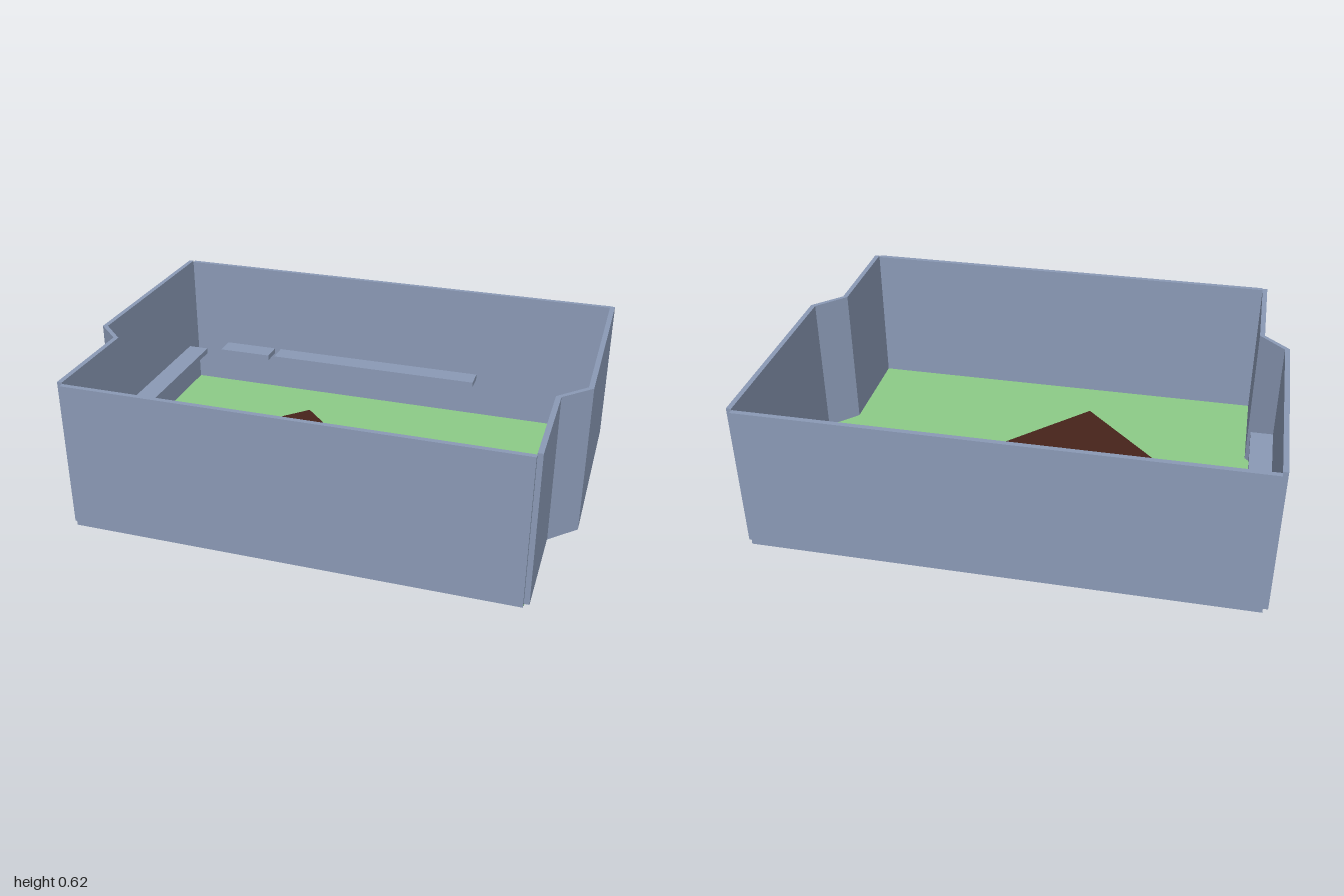
import * as THREE from 'three';

const wallMat = new THREE.MeshStandardMaterial({ color: 0x8a99b5 });
const floorMat = new THREE.MeshStandardMaterial({ color: 0x8ccb87 });
const rugMat = new THREE.MeshStandardMaterial({ color: 0x47231b });

// Vertical prism over a plan outline given as [x, z] corners
function prism(name, outline, y0, y1, material) {
  const shape = new THREE.Shape(outline.map(([x, z]) => new THREE.Vector2(x, -z)));
  const geo = new THREE.ExtrudeGeometry(shape, { depth: y1 - y0, bevelEnabled: false });
  geo.rotateX(-Math.PI / 2).translate(0, y0, 0);
  const mesh = new THREE.Mesh(geo, material);
  mesh.name = name;
  return mesh;
}

// Axis-aligned block from its extents
function block(name, x0, x1, y0, y1, z0, z1, material) {
  const mesh = new THREE.Mesh(new THREE.BoxGeometry(x1 - x0, y1 - y0, z1 - z0), material);
  mesh.position.set((x0 + x1) / 2, (y0 + y1) / 2, (z0 + z1) / 2);
  mesh.name = name;
  return mesh;
}

export function createModel() {
  const room = new THREE.Group();
  room.name = 'room';

  // Floor, narrower toward the front
  room.add(prism('floor', [
    [-0.98, -0.69], [0.98, -0.69], [0.98, 0.145], [0.876, 0.25],
    [0.876, 0.687], [-0.88, 0.687], [-0.88, 0.25], [-0.98, 0.155],
  ], 0, 0.013, floorMat));

  // Back and front walls
  room.add(block('backWall', -0.98, 0.98, 0.007, 0.612, -0.71, -0.69, wallMat));
  room.add(block('frontWall', -0.88, 0.875, 0.007, 0.612, 0.686, 0.706, wallMat));

  // Side walls: long rear run, angled step, short front run
  const sides = [['right', -1, 0.158, 0.9], ['left', 1, 0.147, 0.895]];
  for (const [side, s, zStep, xFront] of sides) {
    const t = 0.02;
    const run = (name, outer, z0, z1) => block(name, Math.min(s * outer, s * (outer - t)),
      Math.max(s * outer, s * (outer - t)), 0.01, 0.618, z0, z1, wallMat);
    room.add(run(side + 'RearWall', 1, -0.692, zStep));
    room.add(run(side + 'FrontWall', xFront, 0.25, 0.687));
    room.add(prism(side + 'AngledWall', [
      [s * 1, zStep], [s * xFront, 0.253], [s * (xFront - t), 0.25], [s * (1 - t), zStep - 0.006],
    ], 0.006, 0.618, wallMat));
  }

  // Shelves along the back and right walls
  const shelves = [
    ['shortBackShelf', -0.82, -0.575, -0.69, -0.6],
    ['longBackShelf', -0.545, 0.418, -0.69, -0.6],
    ['sideShelf', -0.98, -0.888, -0.59, 0.153],
  ];
  for (const [name, x0, x1, z0, z1] of shelves) {
    room.add(block(name, x0, x1, 0.19, 0.214, z0, z1, wallMat));
  }

  // Rug turned diagonally
  room.add(prism('rug', [
    [-0.32, -0.46], [0.225, 0.083], [-0.165, 0.47], [-0.71, -0.073],
  ], 0.013, 0.03, rugMat));

  return room;
}
